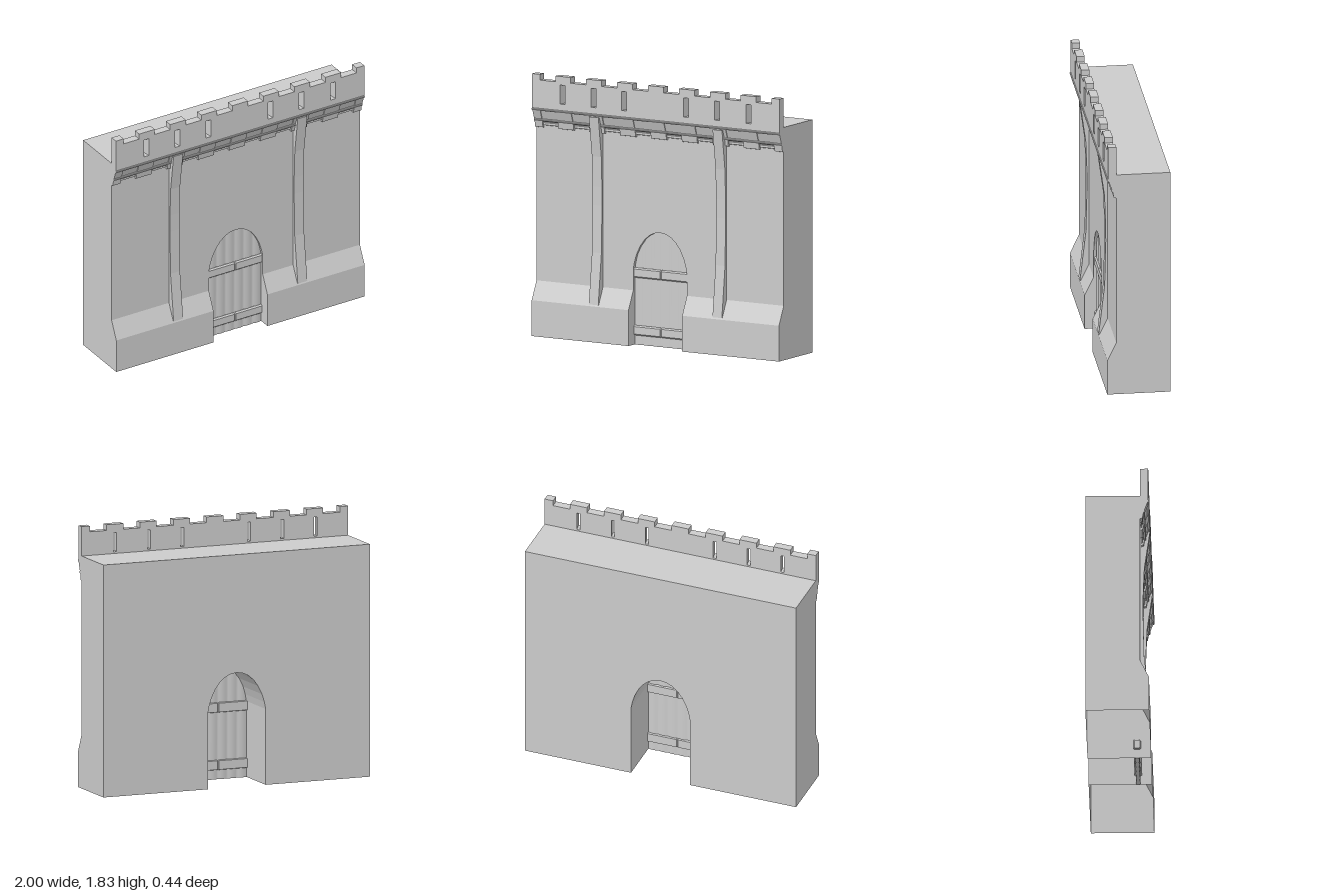
import * as THREE from 'three';

const material = new THREE.MeshStandardMaterial({ color: 0xcccccc, side: THREE.DoubleSide });
const BACK = -0.22, WALL = 0.155, FRONT = 0.217;
const WALL_TOP = 1.625, SPRING = 0.53, HALF_DOOR = 0.217;

// Right half of the gate arch, from the crown down to the springing
const ARCH = [[0, 0.8], [0.045, 0.793], [0.085, 0.775], [0.125, 0.742], [0.16, 0.695], [0.19, 0.635], [0.207, 0.58], [HALF_DOOR, SPRING]];

const shapeOf = (points) => new THREE.Shape(points.map(([x, y]) => new THREE.Vector2(x, y)));

function add(group, name, geometry) {
  const mesh = new THREE.Mesh(geometry, material);
  mesh.name = name;
  group.add(mesh);
  return mesh;
}

// Extrudes a front outline from z0 to z1
function extrudeZ(shape, z0, z1) {
  return new THREE.ExtrudeGeometry(shape, { depth: z1 - z0, bevelEnabled: false }).translate(0, 0, z0);
}

// Extrudes a side profile of [z, y] points from x0 to x1
function extrudeX(profile, x0, x1) {
  return new THREE.ExtrudeGeometry(shapeOf(profile), { depth: x1 - x0, bevelEnabled: false })
    .rotateY(-Math.PI / 2).translate(x1, 0, 0);
}

// Removes the horizontal faces lying at the given heights
function openAt(geometry, heights) {
  const p = geometry.attributes.position, n = geometry.attributes.normal;
  const pos = [], nor = [];
  for (let i = 0; i < p.count; i += 3) {
    const flat = heights.some((h) => [0, 1, 2].every((k) => Math.abs(p.getY(i + k) - h) < 1e-4));
    if (flat) continue;
    for (let k = i; k < i + 3; k++) {
      pos.push(p.getX(k), p.getY(k), p.getZ(k));
      nor.push(n.getX(k), n.getY(k), n.getZ(k));
    }
  }
  const out = new THREE.BufferGeometry();
  out.setAttribute('position', new THREE.Float32BufferAttribute(pos, 3));
  out.setAttribute('normal', new THREE.Float32BufferAttribute(nor, 3));
  return out;
}

function archHeight(x) {
  const a = Math.min(Math.abs(x), HALF_DOOR);
  for (let i = 1; i < ARCH.length; i++) {
    const [x0, y0] = ARCH[i - 1], [x1, y1] = ARCH[i];
    if (a <= x1) return y0 + (y1 - y0) * (a - x0) / (x1 - x0);
  }
  return SPRING;
}

// Hollow wall, open underneath, with a flared foot either side of the gate
function buildWall(group) {
  const foot = [[BACK, 0], [FRONT, 0], [FRONT, 0.25], [WALL, 0.38], [WALL, SPRING], [BACK, SPRING]];
  for (const [name, x0, x1] of [['rightWallFoot', -1, -HALF_DOOR], ['leftWallFoot', HALF_DOOR, 1]])
    add(group, name, openAt(extrudeX(foot, x0, x1), [0, SPRING]));

  const archLeft = ARCH.slice(1).reverse().map(([x, y]) => [-x, y]);
  const outline = [[-1, SPRING], ...archLeft, ...ARCH, [1, SPRING], [1, WALL_TOP], [-1, WALL_TOP]];
  add(group, 'upperWall', openAt(extrudeZ(shapeOf(outline), BACK, WALL), [SPRING]));
}

// Crenellated parapet with splayed arrow slits
function buildParapet(group) {
  const pts = [[-1, 1.58], [1, 1.58]];
  for (let i = 8; i >= 0; i--) {
    const c = -1 + i * 0.25;
    const r = Math.min(1, c + 0.0625), l = Math.max(-1, c - 0.0625);
    if (i < 8) pts.push([r, 1.79]);
    pts.push([r, 1.83], [l, 1.83]);
    if (i > 0) pts.push([l, 1.79]);
  }
  const shape = shapeOf(pts);
  const slits = [-0.755, -0.505, -0.255, 0.245, 0.495, 0.75];
  for (const c of slits) {
    const hole = [[c - 0.02, 1.637], [c - 0.02, 1.77], [c + 0.02, 1.77], [c + 0.02, 1.637]];
    shape.holes.push(new THREE.Path(hole.map(([x, y]) => new THREE.Vector2(x, y))));
  }
  const geometry = extrudeZ(shape, WALL, 0.212);
  const p = geometry.attributes.position;
  for (let i = 0; i < p.count; i++) {
    const y = p.getY(i);
    if (y < 1.63 || y > 1.78 || p.getZ(i) > 0.18) continue;
    const c = slits.find((s) => Math.abs(s - p.getX(i)) < 0.03);
    if (c !== undefined) p.setX(i, c + (p.getX(i) - c) * 0.6);
  }
  geometry.computeVertexNormals();
  add(group, 'parapet', geometry);
}

// Sloped cornice with corbels below the merlons and two thin mouldings
function buildCornice(group) {
  add(group, 'cornice', extrudeX([[WALL, 1.495], [0.172, 1.495], [0.202, 1.58], [WALL, 1.58]], -1, 1));
  const corbel = [[WALL, 1.452], [0.172, 1.456], [0.18, 1.5], [0.209, 1.58], [WALL, 1.58]];
  for (let i = 0; i <= 8; i++) {
    const c = -1 + i * 0.25;
    add(group, 'corbel', extrudeX(corbel, Math.max(-1, c - 0.0625), Math.min(1, c + 0.0625)));
    if (i < 8)
      add(group, 'corbelLink', extrudeX([[WALL, 1.468], [0.165, 1.472], [0.165, 1.487], [WALL, 1.49]], c + 0.0625, c + 0.1875));
  }
  const moulding = (z, y) => [[WALL, y - 0.008], [z - 0.004, y - 0.008], [z, y - 0.003], [z, y + 0.003], [z - 0.004, y + 0.008], [WALL, y + 0.008]];
  add(group, 'upperMoulding', extrudeX(moulding(0.219, 1.585), -1, 1));
  add(group, 'lowerMoulding', extrudeX(moulding(0.19, 1.508), -1, 1));
}

// Bowed buttress ribs
function buildRibs(group) {
  const profile = [[WALL, 0.262], [0.217, 0.262], [0.176, 0.62], [0.168, 0.95], [0.169, 1.08], [0.177, 1.29], [0.216, 1.57], [WALL, 1.57]];
  for (const c of [-0.5, 0.5])
    add(group, c < 0 ? 'rightRib' : 'leftRib', extrudeX(profile, c - 0.038, c + 0.038));
}

// Double plank door with rounded boards and cross bands on both faces
function buildDoor(group) {
  const door = new THREE.Group();
  door.name = 'door';
  const z = 0.122, planks = 6, w = 2 * HALF_DOOR;
  const boards = new THREE.BoxGeometry(w, 1, 0.02, planks * 8, 1, 1);
  const p = boards.attributes.position;
  for (let i = 0; i < p.count; i++) {
    const x = p.getX(i);
    const bulge = 0.006 * Math.abs(Math.sin((x / w + 0.5) * planks * Math.PI));
    p.setXYZ(i, x, p.getY(i) > 0 ? archHeight(x) : 0, z + p.getZ(i) + Math.sign(p.getZ(i)) * bulge);
  }
  boards.computeVertexNormals();
  add(door, 'doorBoards', boards);

  const bevel = 0.006;
  const band = [[-0.022, -0.028], [-0.014, -0.031], [0.014, -0.031], [0.022, -0.024], [0.022, 0.024], [0.014, 0.031], [-0.014, 0.031], [-0.022, 0.028]];
  for (const y of [0.1, 0.502])
    for (const x0 of [-0.232, 0]) {
      const bar = new THREE.ExtrudeGeometry(shapeOf(band), {
        depth: 0.232 - 2 * bevel, bevelThickness: bevel, bevelSize: bevel, bevelOffset: -bevel + 0.004, bevelSegments: 1,
      });
      bar.rotateY(-Math.PI / 2).translate(x0 + 0.232 - bevel, y, z);
      add(door, 'doorBand', bar);
    }
  group.add(door);
}

export function createModel() {
  const model = new THREE.Group();
  model.name = 'gateWall';
  buildWall(model);
  buildParapet(model);
  buildCornice(model);
  buildRibs(model);
  buildDoor(model);
  return model;
}
